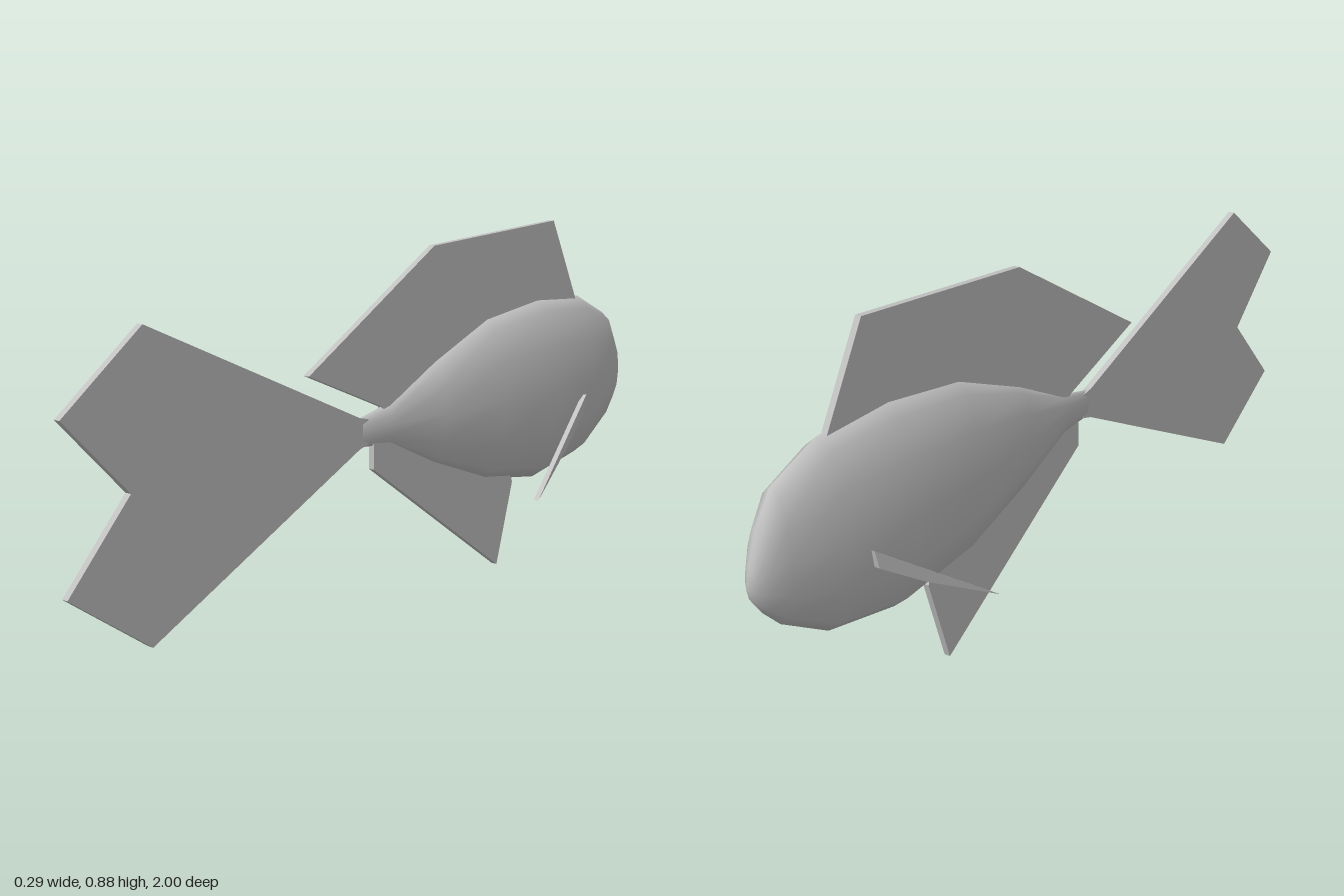
import * as THREE from 'three';
import { mergeVertices } from 'three/addons/utils/BufferGeometryUtils.js';

const THICKNESS = 0.016;

// Flat plate from a side outline of [z, y] points, extruded along x
function finGeometry(points, thickness = THICKNESS) {
  const shape = new THREE.Shape(points.map(([z, y]) => new THREE.Vector2(z, y)));
  return new THREE.ExtrudeGeometry(shape, { depth: thickness, bevelEnabled: false })
    .translate(0, 0, -thickness / 2)
    .rotateY(-Math.PI / 2);
}

// Smooth skin through elliptical rings given as [z, top, bottom, half width]
function bodyGeometry(rings, sides = 12) {
  const positions = [];
  const index = [];
  rings.forEach(([z, top, bottom, halfWidth], i) => {
    for (let j = 0; j < sides; j++) {
      const a = (j / sides) * Math.PI * 2;
      positions.push(
        Math.cos(a) * halfWidth,
        (top + bottom) / 2 + Math.sin(a) * (top - bottom) / 2,
        z
      );
      if (i === rings.length - 1) continue;
      const k = (j + 1) % sides;
      const p = i * sides + j, q = i * sides + k;
      if (i > 0) index.push(p, q, p + sides);
      if (i < rings.length - 2) index.push(q, q + sides, p + sides);
      else index.push(q, p + sides, p + sides);
      if (i === 0) index.push(p, q + sides, p + sides);
    }
  });
  const geometry = new THREE.BufferGeometry();
  geometry.setAttribute('position', new THREE.Float32BufferAttribute(positions, 3));
  geometry.setIndex(index);
  const merged = mergeVertices(geometry, 1e-5);
  merged.computeVertexNormals();
  return merged;
}

export function createModel() {
  const group = new THREE.Group();
  const grey = new THREE.MeshStandardMaterial({ color: 0xc0c0c0 });
  grey.name = 'light grey';

  const add = (name, geometry) => {
    const mesh = new THREE.Mesh(geometry, grey);
    mesh.name = name;
    group.add(mesh);
  };

  // Body: blunt head at -z, tapering to the tail root
  add('body', bodyGeometry([
    [-1.0, 0.425, 0.425, 0],
    [-0.99, 0.47, 0.39, 0.014],
    [-0.965, 0.54, 0.355, 0.031],
    [-0.92, 0.61, 0.31, 0.047],
    [-0.79, 0.67, 0.235, 0.07],
    [-0.59, 0.685, 0.203, 0.08],
    [-0.365, 0.66, 0.24, 0.073],
    [-0.15, 0.58, 0.32, 0.046],
    [0.02, 0.5, 0.4, 0.019],
    [0.12, 0.48, 0.41, 0.01],
    [0.12, 0.445, 0.445, 0],
  ]));

  // Forked tail
  add('tailFin', finGeometry([
    [0.1, 0.475], [0.13, 0.482], [0.785, 0.778], [1, 0.62], [0.83, 0.444],
    [1, 0.265], [0.785, 0.11], [0.13, 0.408], [0.1, 0.415],
  ]));

  // Tall back fin, its lower edge buried in the body
  add('backFin', finGeometry([
    [0.303, 0.604], [-0.147, 0.857], [-0.657, 0.882], [-0.77, 0.665],
    [-0.72, 0.6], [-0.3, 0.58], [0.03, 0.47], [0.047, 0.495],
  ]));

  // Belly fin
  add('bellyFin', finGeometry([
    [0.08, 0.43], [0.08, 0.35], [-0.42, 0], [-0.485, 0.21], [-0.45, 0.3], [-0.1, 0.4],
  ]));

  // Side fins: slim blades splayed outward toward the back
  for (const side of [1, -1]) {
    const blade = finGeometry([
      [-0.725, 0.415], [-0.715, 0.372], [-0.6, 0.3], [-0.405, 0.198],
    ], 0.014);
    const p = blade.attributes.position;
    for (let i = 0; i < p.count; i++) {
      p.setX(i, p.getX(i) + side * (0.072 + (p.getZ(i) + 0.725) * 0.21));
    }
    blade.computeVertexNormals();
    add(side > 0 ? 'leftSideFin' : 'rightSideFin', blade);
  }

  return group;
}
